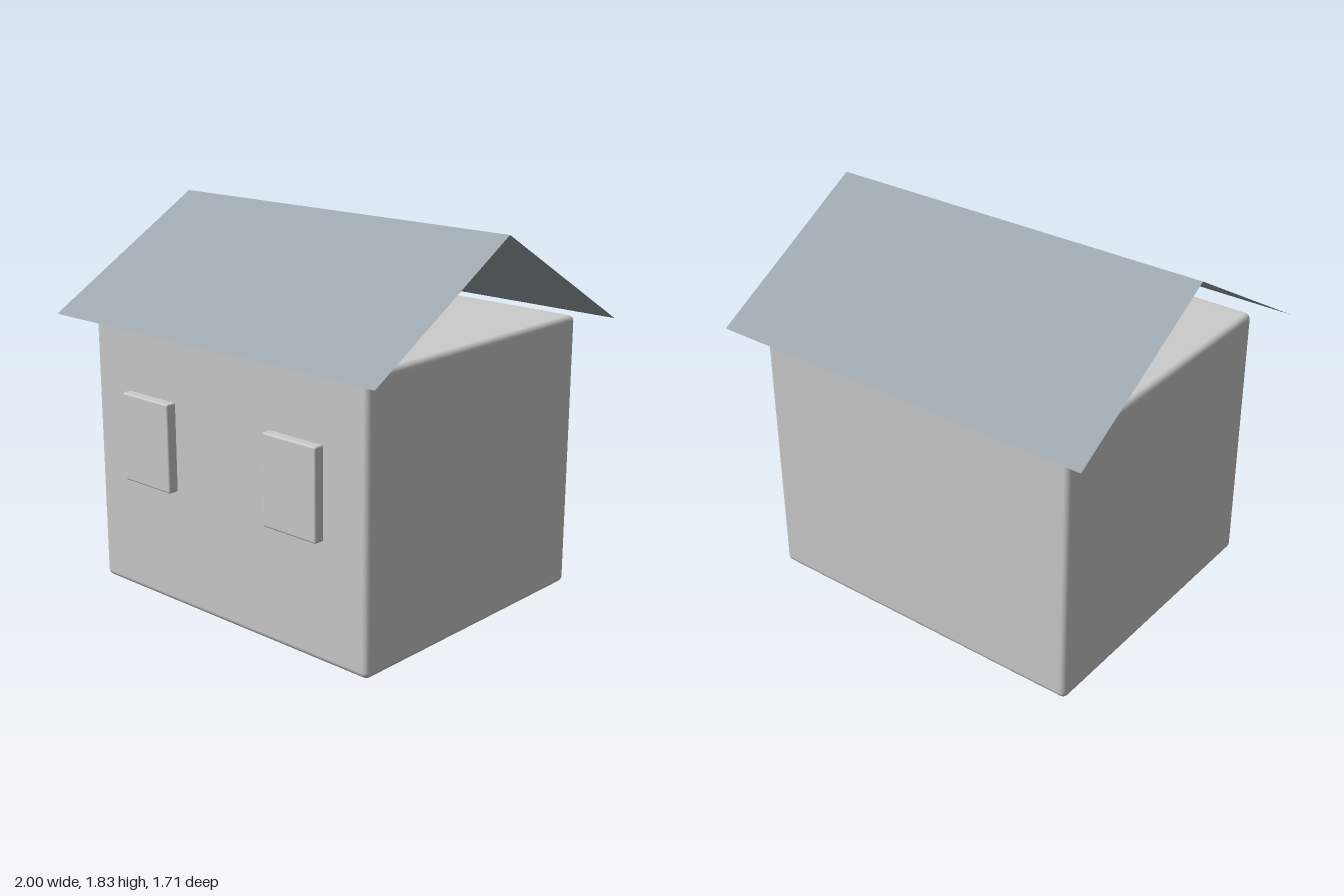
import * as THREE from 'three';
import { RoundedBoxGeometry } from 'three/addons/geometries/RoundedBoxGeometry.js';

export function createModel() {
  const house = new THREE.Group();
  house.name = 'house';

  const wallGrey = new THREE.MeshStandardMaterial({ color: 0xcccccc });
  wallGrey.name = 'wallGrey';
  const roofSlate = new THREE.MeshStandardMaterial({ color: 0x9da7ad, side: THREE.DoubleSide });
  roofSlate.name = 'roofSlate';

  const add = (name, geometry, material, x, y, z) => {
    const mesh = new THREE.Mesh(geometry, material);
    mesh.name = name;
    mesh.position.set(x, y, z);
    house.add(mesh);
    return mesh;
  };

  // Walls: one solid block with softened edges
  add('walls', new RoundedBoxGeometry(1.73, 1.345, 1.47, 3, 0.03), wallGrey, 0, 0.6725, 0);

  // Windows: raised panels on the front wall
  const windowGeometry = new RoundedBoxGeometry(0.316, 0.43, 0.054, 2, 0.01);
  for (const [side, name] of [[1, 'leftWindow'], [-1, 'rightWindow']]) {
    add(name, windowGeometry, wallGrey, side * 0.462, 0.786, 0.763);
  }

  // Roof: two thin sheets sloping from the ridge to the eaves, open at the gables
  const ridgeY = 1.83, eaveY = 1.33, eaveZ = 0.855;
  const rise = ridgeY - eaveY;
  const slope = new THREE.PlaneGeometry(2, Math.hypot(rise, eaveZ));
  slope.rotateX(-Math.atan2(eaveZ, rise));
  slope.translate(0, (ridgeY + eaveY) / 2, eaveZ / 2);
  add('frontRoof', slope, roofSlate, 0, 0, 0);
  add('backRoof', slope, roofSlate, 0, 0, 0).rotation.y = Math.PI;

  return house;
}
